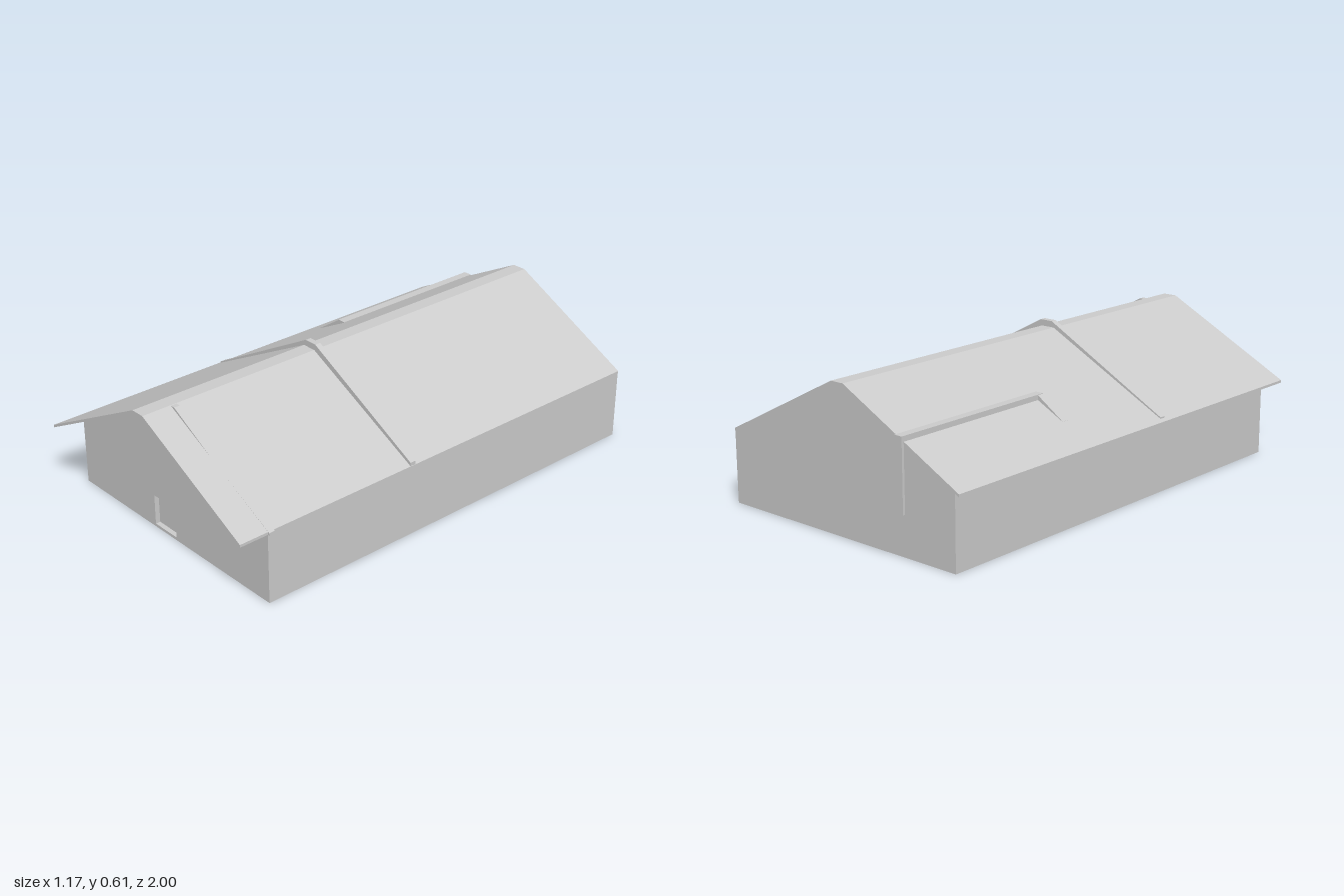
import * as THREE from 'three';

const material = new THREE.MeshStandardMaterial({ color: 0xcccccc, flatShading: true });

// Outline in the x-y plane, extruded between two z values
function slab(name, points, z0, z1, hole) {
  const shape = new THREE.Shape(points.map(([x, y]) => new THREE.Vector2(x, y)));
  if (hole) shape.holes.push(new THREE.Path(hole.map(([x, y]) => new THREE.Vector2(x, y))));
  const geometry = new THREE.ExtrudeGeometry(shape, { depth: z1 - z0, bevelEnabled: false });
  geometry.translate(0, 0, z0);
  const mesh = new THREE.Mesh(geometry, material);
  mesh.name = name;
  return mesh;
}

function box(name, x0, x1, y0, y1, z0, z1) {
  const mesh = new THREE.Mesh(new THREE.BoxGeometry(x1 - x0, y1 - y0, z1 - z0), material);
  mesh.position.set((x0 + x1) / 2, (y0 + y1) / 2, (z0 + z1) / 2);
  mesh.name = name;
  return mesh;
}

// Closed strip following a line, with a given vertical thickness
const strip = (line, t) => [...line, ...line.map(([x, y]) => [x, y - t]).reverse()];

export function createModel() {
  const model = new THREE.Group();
  model.name = 'gabledHall';

  // Walls, with a shallow doorway in the front gable
  const gable = [[-0.57, 0], [0.575, 0], [0.575, 0.291], [0.03, 0.573], [-0.03, 0.573], [-0.57, 0.294]];
  const doorway = [[-0.11, 0.012], [-0.11, 0.138], [0.022, 0.138], [0.022, 0.012]];
  model.add(slab('hallBody', gable, -0.99, 0.855));
  model.add(slab('frontWall', gable, 0.855, 0.875, doorway));

  // Roof sheet with a flat ridge, overhanging the front and the left-hand eave
  const roofLine = [[-0.588, 0.292], [-0.03, 0.58], [0.03, 0.58], [0.577, 0.299]];
  model.add(slab('roof', strip(roofLine, 0.011), -0.99, 1));

  // Raised rib across the middle of the roof
  const ribLine = [[-0.572, 0.306], [-0.02, 0.605], [0.037, 0.605], [0.576, 0.314]];
  model.add(slab('roofRib', strip(ribLine, 0.03), 0.167, 0.192));

  // Front rib, emerging from the right-hand slope near the ridge
  const frontRibLine = [[0.03, 0.579], [0.052, 0.579], [0.27, 0.4565], [0.583, 0.297]];
  model.add(slab('frontRib', strip(frontRibLine, 0.012), 0.85, 0.875));

  // Duct climbing the back wall, running along the roof and turning downhill
  model.add(box('ductRiser', -0.33, -0.294, 0.16, 0.446, -1, -0.98));
  model.add(box('ductRun', -0.33, -0.294, 0.41, 0.446, -0.99, -0.25));
  const branch = [[-0.45, 0.364], [-0.33, 0.444], [-0.31, 0.446]];
  model.add(slab('ductBranch', strip(branch, 0.03), -0.28, -0.25));

  return model;
}
